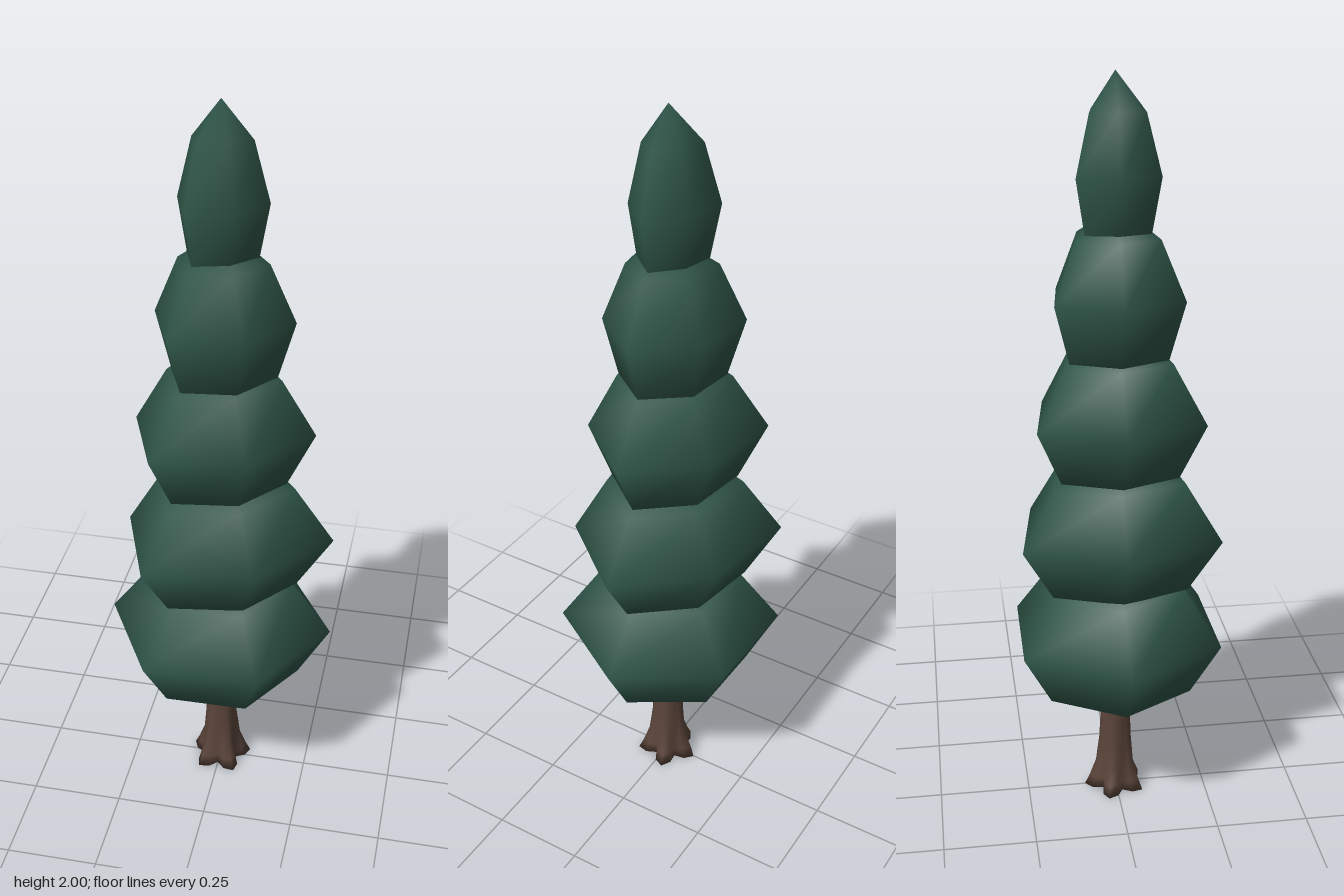
import * as THREE from 'three';

// Smooth closed surface through rings of points, with a pole at each end
function skin(rings, bottom, top) {
  const n = rings[0].length;
  const pos = [...rings.flat(), bottom, top].flat();
  const b = rings.length * n, t = b + 1, last = b - n, idx = [];
  for (let i = 0; i < n; i++) {
    const j = (i + 1) % n;
    idx.push(b, j, i, t, last + i, last + j);
    for (let r = 0; r < last; r += n) {
      idx.push(r + i, r + j, r + n + j, r + i, r + n + j, r + n + i);
    }
  }
  const geo = new THREE.BufferGeometry();
  geo.setAttribute('position', new THREE.Float32BufferAttribute(pos, 3));
  geo.setIndex(idx);
  geo.computeVertexNormals();
  return geo;
}

// Each tier: equator height, right tip, right corner x/z, left corner x/z, left tip, lower and upper ring scale
const tiers = [
  [0.51, 0.308, 0.147, 0.26, -0.16, 0.264, -0.31, 0.72, 0.64],
  [0.82, 0.305, 0.128, 0.217, -0.157, 0.26, -0.253, 0.69, 0.65],
  [1.14, 0.247, 0.1, 0.182, -0.14, 0.216, -0.225, 0.71, 0.63],
  [1.453, 0.188, 0.08, 0.142, -0.1, 0.164, -0.168, 0.77, 0.64],
  [1.757, 0.118, 0.045, 0.084, -0.068, 0.105, -0.106, 0.77, 0.66],
];

export function createModel() {
  const tree = new THREE.Group();
  tree.name = 'coniferTree';
  const foliage = new THREE.MeshStandardMaterial({ color: 0x2f5548 });
  foliage.name = 'darkGreen';
  const bark = new THREE.MeshStandardMaterial({ color: 0x5a443a });
  bark.name = 'barkBrown';
  const add = (name, geo, mat) => {
    const mesh = new THREE.Mesh(geo, mat);
    mesh.name = name;
    tree.add(mesh);
  };

  // Stacked six-sided foliage tiers
  tiers.forEach(([y, tip, rx, rz, lx, lz, left, low, high], i) => {
    const outline = [[tip, 0], [rx, -rz], [lx, -lz], [left, 0], [lx, lz], [rx, rz]];
    const ring = (s, h) => outline.map(([x, z]) => [x * s, h, z * s]);
    const rings = [ring(low, y - 0.155), ring(1, y), ring(high, y + 0.15)];
    add('foliageTier' + (i + 1), skin(rings, [0, y - 0.225, 0], [0, y + (i === 4 ? 0.243 : 0.22), 0]), foliage);
  });

  // Trunk flaring into five ridged roots: [height, valley radius, ridge radius]
  const levels = [[0, 0.047, 0.088], [0.03, 0.045, 0.074], [0.08, 0.043, 0.056],
    [0.16, 0.042, 0.046], [0.26, 0.04, 0.041], [0.36, 0.038, 0.038]];
  const roots = 5, sides = roots * 4;
  const trunkRings = levels.map(([y, valley, ridge]) =>
    Array.from({ length: sides }, (_, k) => {
      const a = (k / sides) * Math.PI * 2 + 0.3;
      const lobe = [1, 0.6, 0, 0.6][k % 4];
      const r = valley + (ridge - valley) * lobe;
      return [r * Math.cos(a), y, -r * Math.sin(a)];
    }));
  add('trunk', skin(trunkRings, [0, 0, 0], [0, 0.36, 0]), bark);

  return tree;
}
